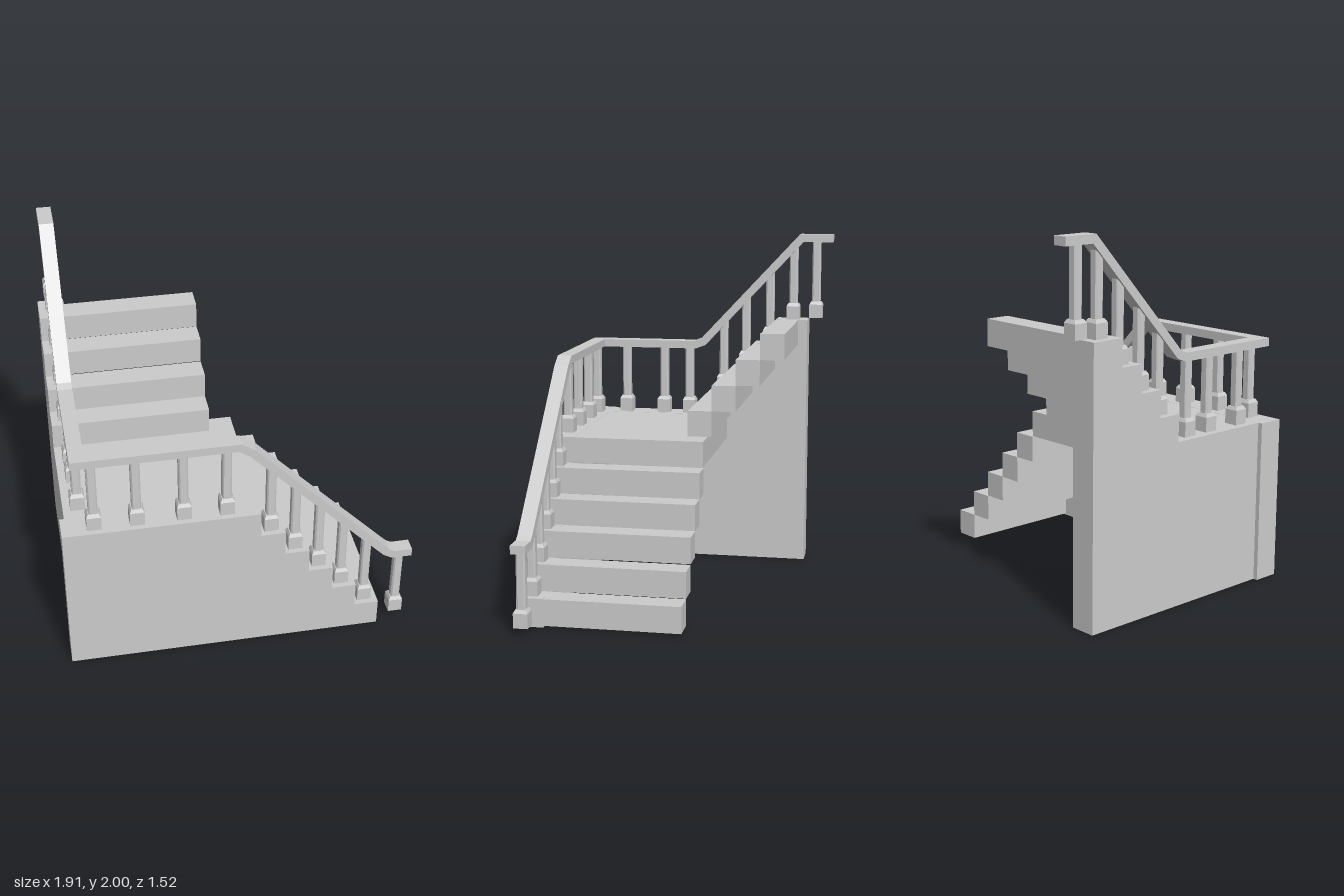
import * as THREE from 'three';

const mat = new THREE.MeshStandardMaterial({ color: 0xcccccc, flatShading: true });

function add(parent, name, geo, x = 0, y = 0, z = 0) {
  const m = new THREE.Mesh(geo, mat);
  m.name = name;
  m.position.set(x, y, z);
  parent.add(m);
  return m;
}

// box given by its min and max corners
function box(parent, name, x0, x1, y0, y1, z0, z1) {
  return add(parent, name, new THREE.BoxGeometry(x1 - x0, y1 - y0, z1 - z0),
    (x0 + x1) / 2, (y0 + y1) / 2, (z0 + z1) / 2);
}

function extrude(points, depth) {
  const shape = new THREE.Shape(points.map(p => new THREE.Vector2(p[0], p[1])));
  return new THREE.ExtrudeGeometry(shape, { depth, bevelEnabled: false });
}

// outline of a band of constant thickness along a 2D path, with mitred joints
function band(path, t) {
  const normals = path.slice(1).map((p, i) => {
    const dx = p[0] - path[i][0], dy = p[1] - path[i][1], l = Math.hypot(dx, dy);
    return [-dy / l, dx / l];
  });
  const up = [], down = [];
  path.forEach((p, i) => {
    const a = normals[Math.max(i - 1, 0)], b = normals[Math.min(i, normals.length - 1)];
    const k = t / 2 / (1 + a[0] * b[0] + a[1] * b[1]);
    const ox = (a[0] + b[0]) * k, oy = (a[1] + b[1]) * k;
    up.push([p[0] + ox, p[1] + oy]);
    down.push([p[0] - ox, p[1] - oy]);
  });
  return up.concat(down.reverse());
}

// height of a path at position s (first coordinate ascending or descending)
function heightAt(path, s) {
  for (let i = 1; i < path.length; i++) {
    const [a, b] = [path[i - 1], path[i]];
    if ((s - a[0]) * (s - b[0]) <= 0) return a[1] + (b[1] - a[1]) * (s - a[0]) / (b[0] - a[0]);
  }
  return path[path.length - 1][1];
}

// square with cut corners, extruded upwards
function postGeometry(w, cut, h) {
  const a = w / 2, b = a - cut;
  return extrude([[-b, -a], [b, -a], [a, -b], [a, b], [b, a], [-b, a], [-a, b], [-a, -b]], h)
    .rotateX(-Math.PI / 2);
}

function baluster(parent, x, y, z, top) {
  const g = new THREE.Group();
  g.name = 'baluster';
  g.position.set(x, y, z);
  parent.add(g);
  box(g, 'balusterBase', -0.039, 0.039, 0, 0.08, -0.039, 0.039);
  const collar = new THREE.CylinderGeometry(0.029 * Math.SQRT2, 0.039 * Math.SQRT2, 0.018, 4).rotateY(Math.PI / 4);
  add(g, 'balusterCollar', collar, 0, 0.089, 0);
  add(g, 'balusterPost', postGeometry(0.05, 0.008, top - y - 0.09), 0, 0.09, 0);
}

export function createModel() {
  const root = new THREE.Group();
  root.name = 'staircase';

  const LAND = 0.895;
  const lowX = [0.09, 0.225, 0.36, 0.497, 0.633, 0.77];    // lower flight risers
  const lowY = [0.747, 0.6, 0.455, 0.305, 0.157];          // lower tread heights
  const upZ = [-0.017, -0.152, -0.288, -0.424, -0.56];     // upper flight risers
  const upY = [1.043, 1.19, 1.34, 1.488];                  // upper tread heights

  // stepped front wall
  const front = [[-0.957, 0], [0.77, 0]];
  for (let i = 4; i >= 0; i--) front.push([lowX[i + 1], lowY[i]], [lowX[i], lowY[i]]);
  front.push([lowX[0], LAND], [-0.957, LAND]);
  add(root, 'frontWall', extrude(front, 0.148), 0, 0, 0.608);

  // stepped side wall
  const side = [[0.615, 0], [0.615, LAND]];
  let h = LAND;
  upY.forEach((y, i) => { side.push([upZ[i], h], [upZ[i], y]); h = y; });
  side.push([-0.615, h], [-0.615, 0]);
  add(root, 'sideWall', extrude(side, 0.145).rotateY(-Math.PI / 2), -0.787, 0, 0);

  // landing and treads
  box(root, 'landing', -0.79, 0.09, 0.75, LAND - 0.001, -0.13, 0.61);
  lowY.forEach((y, i) =>
    box(root, 'lowerStep', lowX[i], lowX[i + 1], y - 0.147, y - 0.001, -0.133, 0.61));
  upY.forEach((y, i) =>
    box(root, 'upperStep', -0.79, -0.052, y - 0.148, y - 0.001, upZ[i + 1], upZ[i]));

  // handrails
  const frontRail = [[-0.89, 1.321], [-0.02, 1.321], [0.045, 1.278], [0.805, 0.49], [0.845, 0.468], [0.951, 0.468]];
  const sideRail = [[0.725, 1.321], [0.075, 1.321], [0.025, 1.34], [-0.572, 1.977], [-0.76, 1.977]];
  add(root, 'frontHandrail', extrude(band(frontRail, 0.046), 0.08), 0, 0, 0.645);
  add(root, 'sideHandrail', extrude(band(sideRail, 0.046), 0.08).rotateY(-Math.PI / 2), -0.81, 0, 0);

  // balusters: position along the rail, foot height
  [[-0.785, LAND], [-0.56, LAND], [-0.313, LAND], [-0.085, LAND], [0.152, lowY[0]], [0.287, lowY[1]],
    [0.422, lowY[2]], [0.556, lowY[3]], [0.695, lowY[4]], [0.884, 0.04]]
    .forEach(([x, y]) => baluster(root, x, y, 0.687, heightAt(frontRail, x)));
  [[0.51, LAND], [0.273, LAND], [0.113, LAND], [-0.1, upY[0]], [-0.237, upY[1]],
    [-0.383, upY[2]], [-0.525, upY[3]], [-0.662, 1.5]]
    .forEach(([z, y]) => baluster(root, -0.853, y, z, heightAt(sideRail, z)));

  return root;
}
